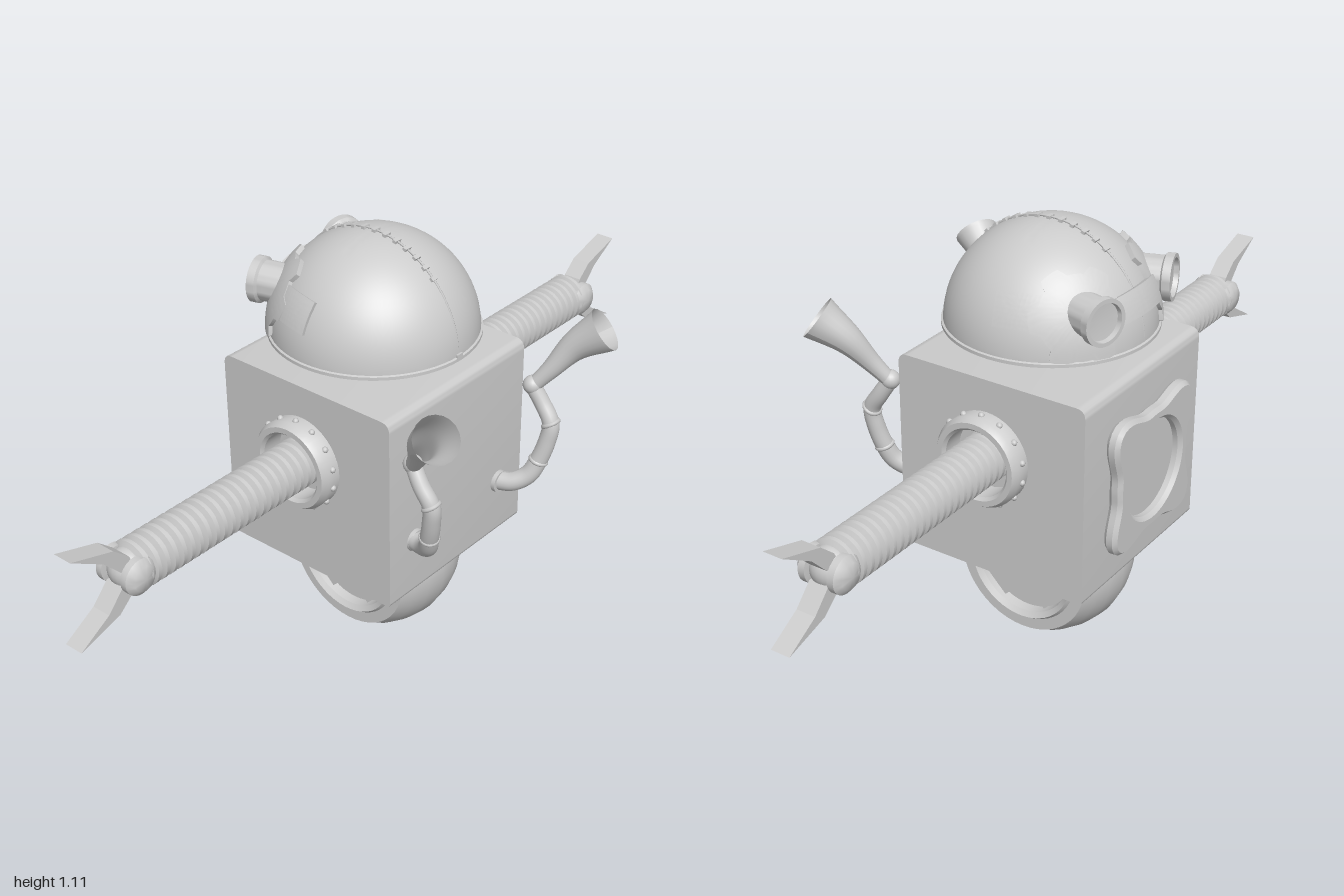
import * as THREE from 'three';
import { toCreasedNormals } from 'three/addons/utils/BufferGeometryUtils.js';

const CZ = -0.08; // depth of the body's centre line
const DOME = new THREE.Vector3(0, 0.855, CZ);
const mat = new THREE.MeshStandardMaterial({ color: 0xcccccc });
const openMat = new THREE.MeshStandardMaterial({ color: 0xcccccc, side: THREE.DoubleSide });

function add(parent, name, geo, x = 0, y = 0, z = 0, material = mat) {
  const mesh = new THREE.Mesh(geo, material);
  mesh.name = name;
  mesh.position.set(x, y, z);
  parent.add(mesh);
  return mesh;
}

const v2 = (pts) => pts.map(([a, b]) => new THREE.Vector2(a, b));
const lathe = (pts, seg = 40) => toCreasedNormals(new THREE.LatheGeometry(v2(pts), seg), 0.6);

// Ribbed hose profile from a to b along the axis
function bellows(a, b, ribs, outer, inner) {
  const pts = [], step = (b - a) / ribs;
  for (let i = 0; i < ribs; i++) {
    const s = a + i * step;
    pts.push([inner, s], [outer, s + step * 0.25], [outer, s + step * 0.65], [inner, s + step * 0.9]);
  }
  pts.push([inner, b]);
  return lathe(pts, 28);
}

// Thin plate lying on the dome; outline(t) is its angular radius around dir
function domePlate(dir, outline, radius) {
  const rings = 8, seg = 96, pos = [], idx = [];
  for (let i = 0; i <= rings + 1; i++) {
    for (let j = 0; j <= seg; j++) {
      const t = (j / seg) * Math.PI * 2;
      const a = outline(t) * Math.min(i / rings, 1);
      const r = i > rings ? 0.248 : radius;
      pos.push(r * Math.sin(a) * Math.cos(t), r * Math.sin(a) * Math.sin(t), r * Math.cos(a));
    }
  }
  for (let i = 0; i <= rings; i++) {
    for (let j = 0; j < seg; j++) {
      const a = i * (seg + 1) + j, b = a + seg + 1;
      idx.push(a, b, b + 1, a, b + 1, a + 1);
    }
  }
  const geo = new THREE.BufferGeometry();
  geo.setAttribute('position', new THREE.Float32BufferAttribute(pos, 3));
  geo.setIndex(idx);
  geo.lookAt(dir);
  const p = geo.attributes.position;
  for (let i = 0; i < p.count; i++) p.setY(i, Math.max(p.getY(i), 0.008));
  return toCreasedNormals(geo, 0.6);
}
const rectOutline = (a, b) => (t) =>
  Math.min(a / Math.max(Math.abs(Math.cos(t)), 1e-4), b / Math.max(Math.abs(Math.sin(t)), 1e-4));

// Tube whose radius follows radiusAt(t)
function taperTube(points, radiusAt, seg = 24) {
  const curve = new THREE.CatmullRomCurve3(points.map((p) => new THREE.Vector3(...p)));
  const geo = new THREE.TubeGeometry(curve, seg, 1, 20);
  const p = geo.attributes.position, v = new THREE.Vector3();
  for (let i = 0; i < p.count; i++) {
    const t = Math.floor(i / 21) / seg, c = curve.getPointAt(t);
    v.fromBufferAttribute(p, i).sub(c).multiplyScalar(radiusAt(t)).add(c);
    p.setXYZ(i, v.x, v.y, v.z);
  }
  geo.computeVertexNormals();
  return geo;
}

function buildSide() {
  const side = new THREE.Group();

  // Shoulder ring with rivets
  const ring = lathe([[0.085, 0.25], [0.1, 0.255], [0.115, 0.268], [0.115, 0.305], [0.106, 0.32],
    [0.092, 0.32], [0.085, 0.312], [0.085, 0.255]]).rotateZ(-Math.PI / 2);
  add(side, 'shoulderRing', ring, 0, 0.605, CZ);
  for (let i = 0; i < 14; i++) {
    const a = (i / 14) * Math.PI * 2;
    add(side, 'shoulderRivet', new THREE.SphereGeometry(0.008, 8, 6),
      0.288, 0.605 + 0.115 * Math.cos(a), CZ + 0.115 * Math.sin(a));
  }

  // Hose arm, wrist and pincers
  add(side, 'arm', bellows(0.25, 0.83, 23, 0.062, 0.05).rotateZ(-Math.PI / 2), 0, 0.605, CZ);
  add(side, 'wrist', new THREE.SphereGeometry(0.05, 24, 16), 0.825, 0.605, CZ);
  const axle = lathe([[0, -0.065], [0.03, -0.06], [0.045, -0.047], [0.045, -0.03], [0.03, -0.028],
    [0.03, 0.028], [0.045, 0.03], [0.045, 0.047], [0.03, 0.06], [0, 0.065]], 24).rotateX(Math.PI / 2);
  add(side, 'wristAxle', axle, 0.835, 0.605, CZ);
  for (const s of [1, -1]) {
    const outline = [[0.83, 0.02], [0.845, 0.05], [0.885, 0.085], [1, 0.119], [0.915, 0.068], [0.87, 0.02]];
    const shape = new THREE.Shape(v2(outline.map(([x, y]) => [x, y * s])));
    const geo = new THREE.ExtrudeGeometry(shape, { depth: 0.05, bevelEnabled: false });
    add(side, s > 0 ? 'upperPincer' : 'lowerPincer', geo, 0, 0.605, CZ - 0.025);
  }

  // Jointed pipe and horn
  const pipe = [[0.165, 0.432, 0.17], [0.178, 0.438, 0.215], [0.2, 0.462, 0.248], [0.216, 0.503, 0.265],
    [0.228, 0.56, 0.28], [0.234, 0.609, 0.284], [0.236, 0.655, 0.255], [0.23, 0.7, 0.226]];
  add(side, 'hornPipe', taperTube(pipe, (t) => 0.025 - 0.005 * t, 40), 0, 0, 0, openMat);
  const flange = new THREE.CylinderGeometry(0.029, 0.029, 0.012, 24).rotateX(Math.PI / 2);
  add(side, 'pipeFlange', flange, 0.165, 0.432, 0.184);
  for (const i of [3, 5]) {
    const collar = add(side, 'pipeCollar', new THREE.TorusGeometry(0.02, 0.006, 8, 24), ...pipe[i]);
    collar.lookAt(...pipe[i + 1]);
  }
  add(side, 'pipeElbow', new THREE.SphereGeometry(0.024, 20, 14), 0.23, 0.7, 0.227);
  const horn = [[0.23, 0.695, 0.226], [0.255, 0.745, 0.262], [0.29, 0.81, 0.305], [0.322, 0.862, 0.366]];
  add(side, 'horn', taperTube(horn, (t) => 0.019 + 0.037 * Math.pow(t, 1.6)), 0, 0, 0, openMat);

  // Goggle eye, its toothed plate and strap
  const eye = lathe([[0.05, -0.12], [0.05, -0.025], [0.057, -0.02], [0.057, 0], [0.047, 0],
    [0.045, -0.012], [0, -0.016]]).rotateX(Math.PI / 2);
  eye.lookAt(new THREE.Vector3(0.3, 0.02, -0.95));
  add(side, 'goggleEye', eye, 0.152, 0.962, -0.322);
  const teeth = (t) => 0.42 + 0.04 * THREE.MathUtils.clamp(4 * Math.cos(6 * t), -1, 1);
  const eyeDir = new THREE.Vector3(0.155, 0.105, -0.18);
  add(side, 'gogglePlate', domePlate(eyeDir, teeth, 0.264), ...DOME);
  add(side, 'goggleStrap', domePlate(new THREE.Vector3(0.222, 0.115, -0.061), rectOutline(0.24, 0.16), 0.262), ...DOME);
  return side;
}

export function createModel() {
  const model = new THREE.Group();
  model.name = 'robot';

  // Box body, rounded along its upper and lower long edges
  const w = 0.259, h = 0.2575, r = 0.025, q = 0.01;
  const s = new THREE.Shape();
  s.moveTo(-w + q, -h).lineTo(w - q, -h).quadraticCurveTo(w, -h, w, -h + q);
  s.lineTo(w, h - r).quadraticCurveTo(w, h, w - r, h);
  s.lineTo(-w + r, h).quadraticCurveTo(-w, h, -w, h - r);
  s.lineTo(-w, -h + q).quadraticCurveTo(-w, -h, -w + q, -h);
  const body = new THREE.ExtrudeGeometry(s, { depth: 0.514, bevelEnabled: false, curveSegments: 6 });
  body.translate(0, 0, -0.257).rotateY(Math.PI / 2);
  add(model, 'body', toCreasedNormals(body, 0.6), 0, 0.5375, CZ);

  // Four-cornered frame around a round hatch
  const outline = [];
  for (let i = 0; i < 96; i++) {
    const t = (i / 96) * Math.PI * 2;
    const rad = 0.147 + 0.07 * Math.pow(0.5 - 0.5 * Math.cos(4 * t), 2);
    outline.push([rad * Math.cos(t), rad * Math.sin(t)]);
  }
  const frame = new THREE.Shape(v2(outline));
  frame.holes.push(new THREE.Path().absarc(0, 0, 0.132, 0, Math.PI * 2, true));
  const frameGeo = new THREE.ExtrudeGeometry(frame, { depth: 0.016, bevelSize: 0.009,
    bevelThickness: 0.01, bevelSegments: 1, curveSegments: 32 });
  add(model, 'hatchFrame', toCreasedNormals(frameGeo, 0.5), 0, 0.54, -0.367);
  add(model, 'hatch', new THREE.CylinderGeometry(0.14, 0.14, 0.016, 48).rotateX(Math.PI / 2), 0, 0.54, -0.345);

  // Wheel with cross-shaped spokes
  const half = [[0, 0.095], [0.13, 0.095], [0.132, 0.12], [0.145, 0.13], [0.152, 0.12], [0.182, 0.12],
    [0.199, 0.09], [0.213, 0.05], [0.22, 0]];
  const tyre = [...half.slice(0, -1).map(([a, b]) => [a, -b]), ...half.slice().reverse()];
  add(model, 'wheel', lathe(tyre, 48).rotateZ(-Math.PI / 2), 0, 0.225, CZ);
  for (const a of [1, -1]) {
    const spoke = add(model, 'wheelSpoke', new THREE.BoxGeometry(0.22, 0.245, 0.08), 0, 0.225, CZ);
    spoke.rotation.x = a * Math.PI / 4;
  }

  // Neck and domed head
  add(model, 'neck', bellows(0.785, 0.86, 4, 0.082, 0.07), 0, 0, CZ);
  const dome = [[0, -0.004], [0.26, -0.004], [0.26, 0.004], [0.255, 0.006]];
  for (let i = 1; i <= 24; i++) {
    const a = (i / 24) * Math.PI / 2;
    dome.push([0.255 * Math.cos(a), 0.25 * Math.sin(a)]);
  }
  add(model, 'head', lathe(dome, 64), ...DOME);

  // Seam over the head with its stitches
  const seam = new THREE.TorusGeometry(0.253, 0.003, 6, 64, Math.PI).rotateY(Math.PI / 2);
  add(model, 'headSeam', seam, ...DOME);
  for (let i = 0; i < 13; i++) {
    const a = i === 12 ? 0.03 : 0.8 + i * 0.125;
    const stitch = add(model, 'seamStitch', new THREE.BoxGeometry(0.02, 0.01, 0.01),
      0, DOME.y + 0.252 * Math.sin(a), CZ + 0.255 * Math.cos(a));
    stitch.rotation.x = Math.PI / 2 - a;
  }
  add(model, 'goggleBridge', domePlate(new THREE.Vector3(0, 0.4, -0.9), rectOutline(0.36, 0.12), 0.27), ...DOME);

  // Mirrored arms, horns and goggles
  const left = buildSide(), right = buildSide();
  left.name = 'leftSide';
  right.name = 'rightSide';
  right.scale.x = -1;
  model.add(left, right);
  return model;
}
